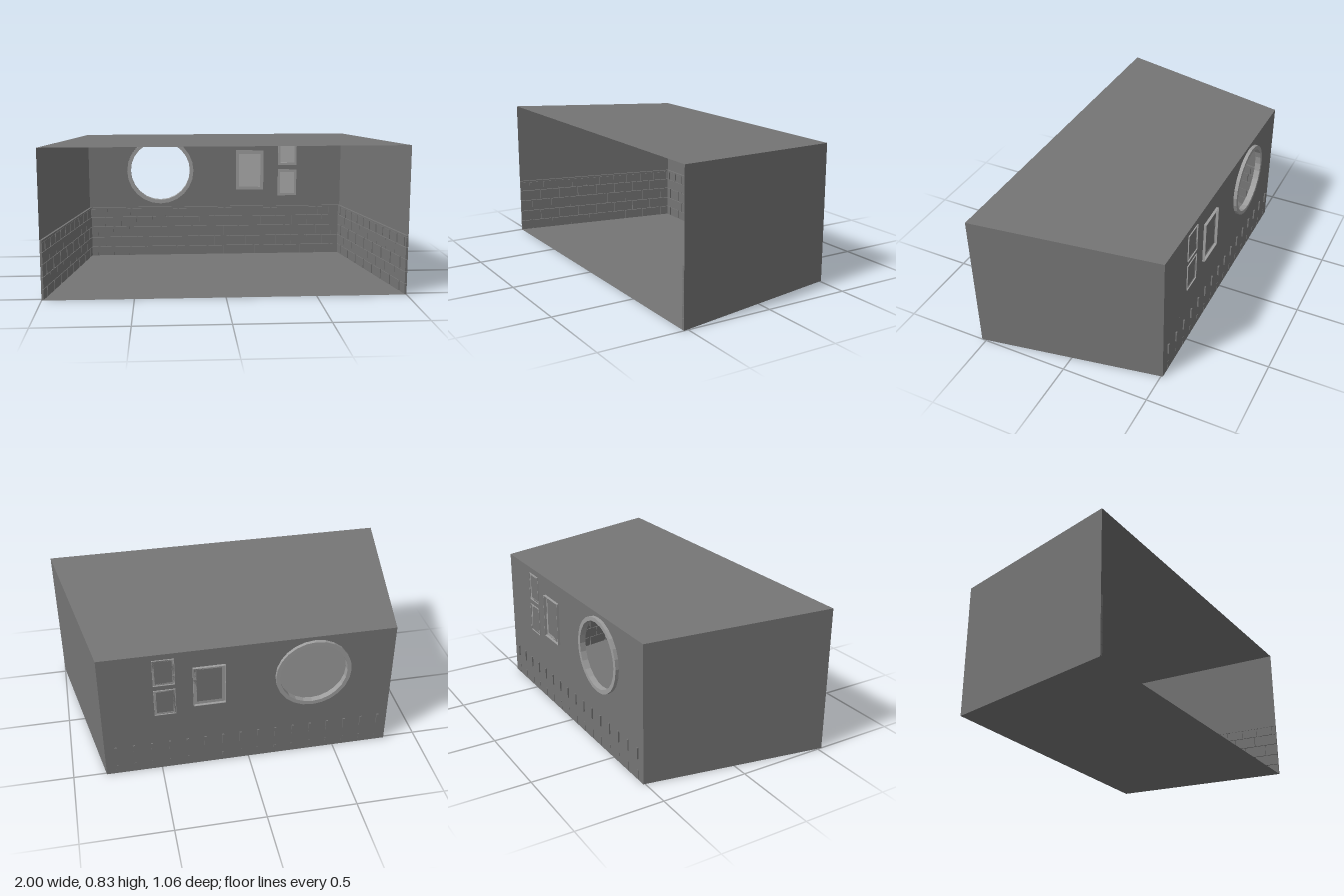
import * as THREE from 'three';

const FRONT = 0.525, BACK = -0.51, WF = 1, WB = 0.815, HF = 0.83, HB = 0.79;

const shade = (color) => new THREE.MeshStandardMaterial({ color, flatShading: true, side: THREE.DoubleSide });
const wallMat = shade(0x757575), frameMat = shade(0x9e9e9e), paneMat = shade(0xb0b0b0);

function add(parent, name, geo, mat, x = 0, y = 0, z = 0) {
  const mesh = new THREE.Mesh(geo, mat);
  mesh.name = name;
  mesh.position.set(x, y, z);
  parent.add(mesh);
}

// Flat four-cornered sheet
function quad(...p) {
  const g = new THREE.BufferGeometry();
  g.setAttribute('position', new THREE.Float32BufferAttribute(p.flat(), 3));
  g.setIndex([0, 1, 2, 0, 2, 3]);
  g.computeVertexNormals();
  return g;
}

function rectPath(Type, w, h, x = 0, y = 0) {
  return new Type([[-1, -1], [1, -1], [1, 1], [-1, 1]]
    .map(([a, b]) => new THREE.Vector2(x + a * w / 2, y + b * h / 2)));
}

function circlePath(Type, r, x = 0, y = 0) {
  const pts = [];
  for (let i = 0; i < 24; i++) {
    const a = i / 24 * Math.PI * 2;
    pts.push(new THREE.Vector2(x + r * Math.cos(a), y + r * Math.sin(a)));
  }
  return new Type(pts);
}

function rectFrame(w, h, rim, depth) {
  const shape = rectPath(THREE.Shape, w, h);
  shape.holes.push(rectPath(THREE.Path, w - 2 * rim, h - 2 * rim));
  return new THREE.ExtrudeGeometry(shape, { depth, bevelEnabled: false });
}

// Brick courses on a local wall: x along the wall, inner face towards +z.
// rise makes the courses grow slightly taller towards one end.
const COURSES = [0.004, 0.062, 0.126, 0.194, 0.258, 0.312];
const POKE = [0.002, 0, 0.008, 0, 0];
function brickwork(name, length, pitch, pokeOut, rise) {
  const group = new THREE.Group();
  group.name = name;
  const half = length / 2, depth = 0.013;
  const block = (part, w, h, d, x, y, z) => {
    const geo = new THREE.BoxGeometry(w, h, d).translate(x, y, z);
    const p = geo.attributes.position;
    for (let i = 0; i < p.count; i++) p.setY(i, p.getY(i) * (1 + rise * p.getX(i) / length + Math.abs(rise) / 2));
    add(group, part, geo, wallMat);
  };
  for (let r = 0; r < 5; r++) {
    const y0 = COURSES[r], h = COURSES[r + 1] - y0 - 0.003, y = y0 + h / 2;
    const wide = r % 2 === 0, gap = wide ? 0.012 : 0.004;
    const step = r === 4 ? pitch * 0.75 : pitch;
    const joints = [];
    for (let x = -half + step * (wide ? 0.55 : 1); x < half - 0.02; x += step) joints.push(x);
    const edges = [-half, ...joints, half];
    for (let i = 0; i + 1 < edges.length; i++) {
      const a = edges[i] + (i ? gap / 2 : 0);
      const b = edges[i + 1] - (i + 2 < edges.length ? gap / 2 : 0);
      block('brick', b - a, h, depth, (a + b) / 2, y, depth / 2);
    }
    // Upright joint strips, some showing through the rear
    const out = pokeOut ? POKE[r] : 0;
    if (wide) for (const x of joints) block('joint', gap, h, out + 0.006, x, y, (0.006 - out) / 2);
  }
  // Continuous ledge over the top course
  block('ledge', length, 0.01, depth, 0, 0.315, depth / 2);
  return group;
}

export function createModel() {
  const model = new THREE.Group();
  model.name = 'room';

  // Floor, roof and splayed side walls
  add(model, 'floor', quad([-WF, 0, FRONT], [WF, 0, FRONT], [WB, 0, BACK], [-WB, 0, BACK]), wallMat);
  add(model, 'roof', quad([-WF, HF, FRONT], [WF, HF, FRONT], [WB, HB, BACK], [-WB, HB, BACK]), wallMat);
  for (const s of [1, -1]) {
    const c = [[s * WF, 0, FRONT], [s * WB, 0, BACK], [s * WB, HB, BACK], [s * WF, HF, FRONT]];
    add(model, s > 0 ? 'leftWall' : 'rightWall', quad(...(s > 0 ? c : c.reverse())), wallMat);
  }

  // Rear wall with a round opening
  const port = { x: -0.357, y: 0.556 };
  const wall = rectPath(THREE.Shape, WB * 2, HB, 0, HB / 2);
  wall.holes.push(circlePath(THREE.Path, 0.2, port.x, port.y));
  add(model, 'rearWall', new THREE.ShapeGeometry(wall), wallMat, 0, 0, BACK);

  // Ring lining the round opening
  const ring = circlePath(THREE.Shape, 0.213);
  ring.holes.push(circlePath(THREE.Path, 0.19));
  add(model, 'roundFrame', new THREE.ExtrudeGeometry(ring, { depth: 0.034, bevelEnabled: false }),
    frameMat, port.x, port.y, -0.53);

  // Rectangular windows: frame and pane inside, thin skirt showing at the rear
  const windows = [
    { x: 0.221, y: 0.555, w: 0.178, h: 0.254, rim: 0.02, back: -0.525 },
    { x: 0.466, y: 0.672, w: 0.12, h: 0.168, rim: 0.014, back: -0.516 },
    { x: 0.466, y: 0.472, w: 0.12, h: 0.168, rim: 0.014, back: -0.516 },
  ];
  for (const { x, y, w, h, rim, back } of windows) {
    add(model, 'windowFrame', rectFrame(w, h, rim, 0.012), frameMat, x, y, BACK);
    add(model, 'windowSkirt', rectFrame(w, h, 0.002, BACK - back), frameMat, x, y, back);
    add(model, 'windowPane', new THREE.PlaneGeometry(w - 2 * rim, h - 2 * rim), paneMat, x, y, BACK + 0.004);
  }

  // Brick wainscot on the three walls
  const rear = brickwork('rearBricks', WB * 2, 0.1008, true, 0);
  rear.position.z = BACK;
  model.add(rear);
  const run = FRONT - BACK, splay = WF - WB;
  for (const s of [1, -1]) {
    const side = brickwork(s > 0 ? 'leftBricks' : 'rightBricks', Math.hypot(run, splay), 0.13, false, s * 0.04);
    side.position.set(s * (WF + WB) / 2, 0, (FRONT + BACK) / 2);
    side.rotation.y = Math.atan2(-s * run, splay);
    model.add(side);
  }
  return model;
}
